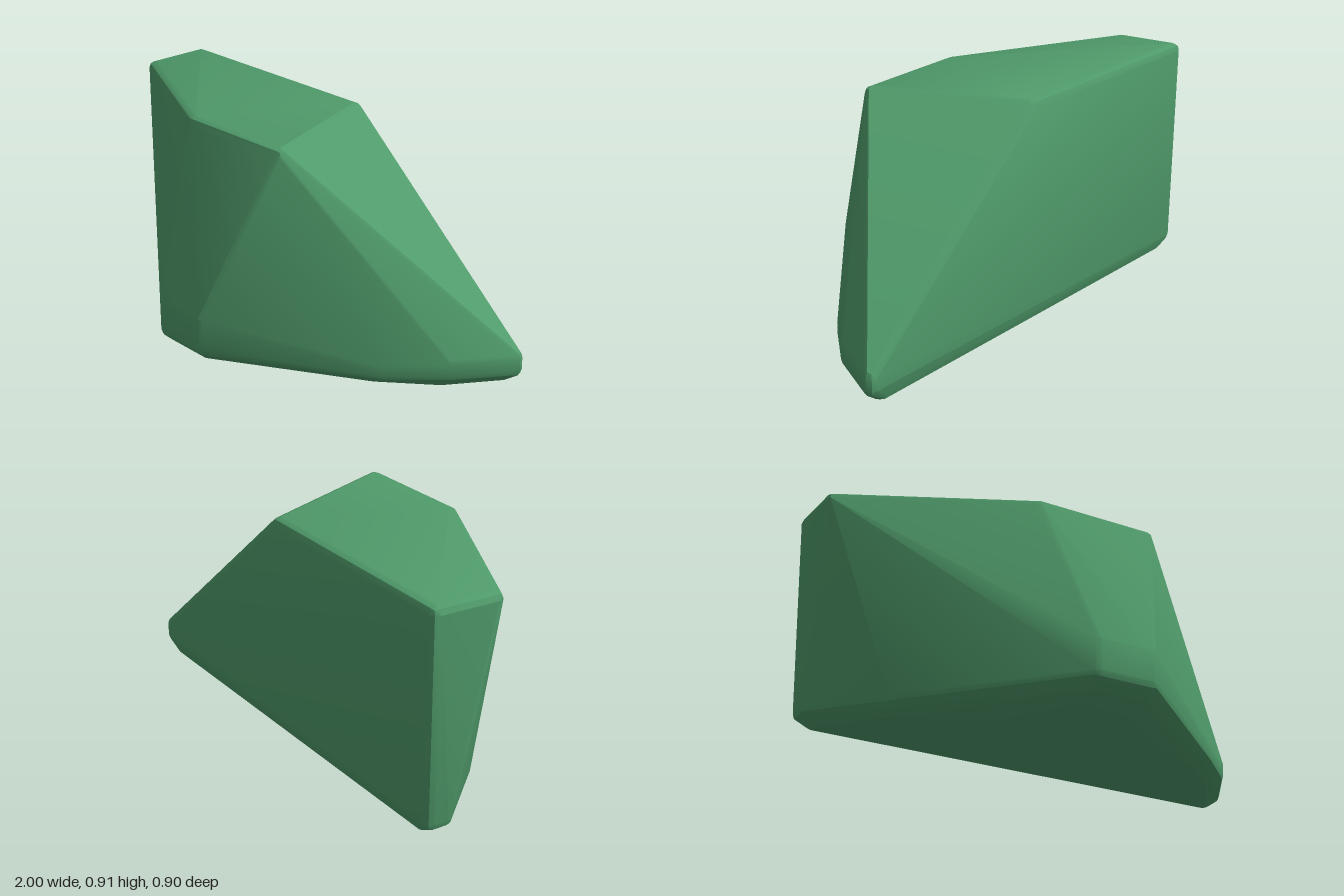
import * as THREE from 'three';
import { ConvexGeometry } from 'three/addons/geometries/ConvexGeometry.js';
import { toCreasedNormals } from 'three/addons/utils/BufferGeometryUtils.js';

// Small sphere of directions used to round every corner
function roundingDirections() {
  const dirs = [];
  for (let x = -1; x <= 1; x++)
    for (let y = -1; y <= 1; y++)
      for (let z = -1; z <= 1; z++)
        if (x || y || z) dirs.push(new THREE.Vector3(x, y, z).normalize());
  return dirs;
}

// Convex solid through the given corners [x, y, z], each rounded by radius
function roundedHull(corners, radius) {
  const dirs = roundingDirections();
  const points = corners.flatMap(([x, y, z]) =>
    dirs.map((d) => new THREE.Vector3(x, y, z).addScaledVector(d, radius)));
  return toCreasedNormals(new ConvexGeometry(points), 0.4);
}

export function createModel() {
  const group = new THREE.Group();
  group.name = 'rock';

  const top = [
    [-0.97, 0.882, -0.42], [0.04, 0.882, -0.42], [0.27, 0.88, 0.165],
    [-0.235, 0.88, 0.175], [-0.968, 0.875, -0.17],
  ];
  const nose = [-1, 1].flatMap((s) => [
    [s * 0.115, 0.23, 0.42], [s * 0.115, 0.1, 0.42], [s * 0.1, 0.066, 0.38],
  ]);
  const rightRim = [
    [0.97, 0.12, -0.42], [0.97, 0.07, -0.42],
    [0.84, 0.12, -0.2], [0.84, 0.07, -0.2],
    [0.66, 0.1, -0.02], [0.66, 0.06, -0.02],
  ];
  const leftRim = [
    [-0.95, 0.06, -0.42], [-0.95, 0.06, -0.36], [-0.71, 0.06, -0.1],
  ];
  const underside = [
    [0.91, 0.03, -0.41], [0.79, 0.03, -0.2], [0.61, 0.03, -0.03], [0.15, 0.03, 0.13],
    [-0.12, 0.03, 0.13], [-0.67, 0.03, -0.11], [-0.9, 0.03, -0.36], [-0.9, 0.03, -0.41],
  ];

  const body = new THREE.Mesh(
    roundedHull([...top, ...nose, ...rightRim, ...leftRim, ...underside], 0.03),
    new THREE.MeshStandardMaterial({ color: 0x4f9a6a }),
  );
  body.name = 'rockBody';
  group.add(body);
  return group;
}
